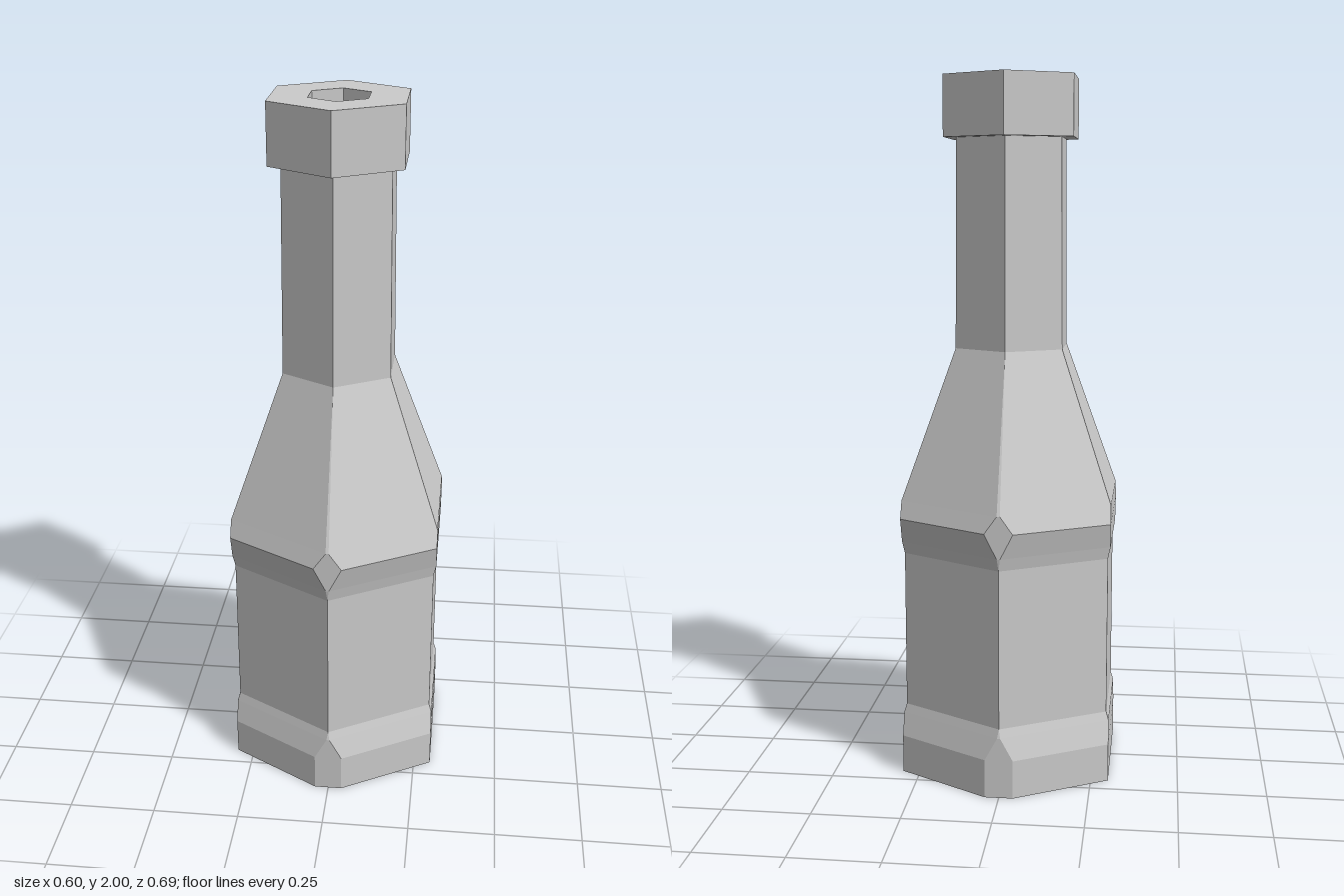
import * as THREE from 'three';

const CLIP_X = 0.3, CLIP_Z = 0.343, SQ3 = Math.sqrt(3);

// Hexagonal section with corners on +-z, trimmed to the widest outline.
function section(r, y) {
  const x = Math.min(CLIP_X, r * SQ3 / 2);
  const z = r - x / SQ3;
  const tipZ = Math.min(CLIP_Z, r);
  const t = (r - tipZ) * SQ3;
  return [[t, tipZ], [x, z], [x, -z], [t, -tipZ], [-t, -tipZ], [-x, -z], [-x, z], [-t, tipZ]]
    .map(([px, pz]) => new THREE.Vector3(px, y, pz));
}

// Joins sections along a [radius, height] profile; faces point outward for a rising profile.
function loft(name, profile) {
  const rings = profile.map(([r, y]) => section(r, y));
  const pos = [];
  const tri = (a, b, c) => {
    const area = b.clone().sub(a).cross(c.clone().sub(a)).length();
    if (area > 1e-8) for (const v of [a, b, c]) pos.push(v.x, v.y, v.z);
  };
  for (let i = 0; i + 1 < rings.length; i++) {
    const lo = rings[i], hi = rings[i + 1];
    for (let k = 0; k < 8; k++) {
      const n = (k + 1) % 8;
      tri(lo[k], lo[n], hi[n]);
      tri(lo[k], hi[n], hi[k]);
    }
  }
  const geo = new THREE.BufferGeometry();
  geo.setAttribute('position', new THREE.Float32BufferAttribute(pos, 3));
  geo.computeVertexNormals();
  const mesh = new THREE.Mesh(geo, new THREE.MeshStandardMaterial({ color: 0xcccccc, flatShading: true }));
  mesh.name = name;
  return mesh;
}

export function createModel() {
  const bottle = new THREE.Group();
  bottle.name = 'bottle';

  // Base, belly with raised bands, and sloping shoulder
  bottle.add(loft('body', [
    [0, 0], [0.366, 0], [0.366, 0.11], [0.3455, 0.175], [0.337, 0.2],
    [0.337, 0.655], [0.3455, 0.69], [0.366, 0.76], [0.3455, 0.81], [0.176, 1.24],
  ]));

  // Slightly tapered neck
  bottle.add(loft('neck', [[0.176, 1.24], [0.171, 1.83]]));

  // Overhanging lip around the mouth
  bottle.add(loft('lip', [[0.171, 1.83], [0.21, 1.83], [0.21, 2], [0.092, 2]]));

  // Mouth opening, stepping down into a narrower bore
  bottle.add(loft('mouth', [[0.092, 2], [0.092, 1.83], [0.067, 1.83], [0.061, 1.24], [0, 1.24]]));

  return bottle;
}
